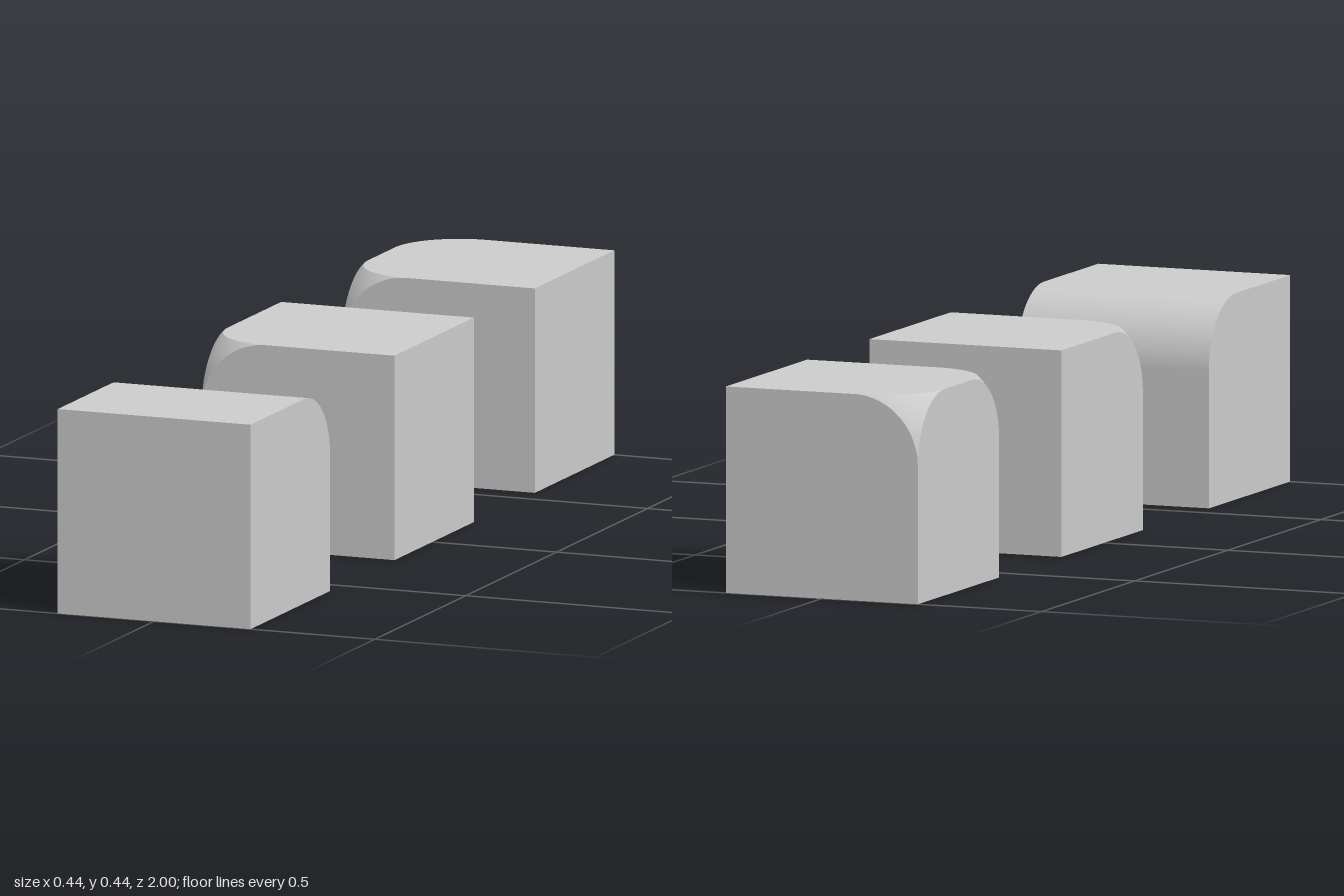
import * as THREE from 'three';
import { mergeGeometries } from 'three/addons/utils/BufferGeometryUtils.js';

const SIZE = 0.437, H = SIZE / 2, R = SIZE / 3, SEGS = 20;

// Square outline centred on the origin; radii run bottom-left, bottom-right, top-right, top-left
function squareShape(radii) {
  const shape = new THREE.Shape();
  radii.forEach((r, i) => {
    const start = Math.PI + (i * Math.PI) / 2;
    const sx = i === 0 || i === 3 ? -1 : 1, sy = i < 2 ? -1 : 1;
    if (r > 0) shape.absarc(sx * (H - r), sy * (H - r), r, start, start + Math.PI / 2, false);
    else if (i === 0) shape.moveTo(-H, -H);
    else shape.lineTo(sx * H, sy * H);
  });
  shape.closePath();
  return shape;
}

// One flat side of a block, moved out to its place
function side(radii, rotX, rotY) {
  return new THREE.ShapeGeometry(squareShape(radii), SEGS)
    .translate(0, 0, H).rotateX(rotX).rotateY(rotY);
}

// Rounded corner at -x, top, sz: a sphere that touches the three edges, in level slices
function cornerPatch(sz) {
  const pos = [], norm = [], uv = [], index = [], row = SEGS + 1;
  for (let j = 0; j <= SEGS; j++) {
    const drop = R * Math.cos((j / SEGS) * Math.PI / 2);
    const rho = Math.sqrt(2 * R * R - drop * drop);
    const from = Math.acos(Math.min(1, R / rho)), to = Math.PI / 2 - from;
    for (let i = 0; i <= SEGS; i++) {
      const a = from + (to - from) * (i / SEGS);
      const n = [-rho * Math.cos(a), drop, sz * rho * Math.sin(a)];
      pos.push(R - H + n[0], H - R + n[1], sz * (H - R) + n[2]);
      norm.push(...n.map((v) => v / (R * Math.SQRT2)));
      uv.push(i / SEGS, j / SEGS);
      if (i < SEGS && j < SEGS) {
        const p = j * row + i, q = p + row;
        if (sz > 0) index.push(p, q, q + 1, p, q + 1, p + 1);
        else index.push(p, q + 1, q, p, p + 1, q + 1);
      }
    }
  }
  const geo = new THREE.BufferGeometry();
  geo.setAttribute('position', new THREE.Float32BufferAttribute(pos, 3));
  geo.setAttribute('normal', new THREE.Float32BufferAttribute(norm, 3));
  geo.setAttribute('uv', new THREE.Float32BufferAttribute(uv, 2));
  geo.setIndex(index);
  return geo;
}

// Cube with the top corner at -x, +z rounded, and optionally the one at -x, -z
function cornerBlock(backToo) {
  const b = backToo ? R : 0, q = Math.PI / 2;
  const parts = [
    side([0, 0, 0, R], 0, 0),        // front
    side([0, 0, b, 0], 0, Math.PI),  // back
    side([0, 0, R, b], 0, -q),       // -x side
    side([0, 0, 0, 0], 0, q),        // +x side
    side([R, 0, 0, b], -q, 0),       // top
    side([0, 0, 0, 0], q, 0),        // bottom
    cornerPatch(1),
  ];
  if (backToo) parts.push(cornerPatch(-1));
  return mergeGeometries(parts);
}

// Cube with one whole top edge rounded, at the back, with smooth normals on the round
function edgeBlock() {
  const geo = new THREE.ExtrudeGeometry(squareShape([0, 0, R, 0]), {
    depth: SIZE, bevelEnabled: false, curveSegments: SEGS,
  }).translate(0, 0, -H);
  const pos = geo.attributes.position, norm = geo.attributes.normal;
  const c = H - R, e = 1e-5;
  for (let i = 0; i < pos.count; i++) {
    const dx = pos.getX(i) - c, dy = pos.getY(i) - c;
    const onRound = dx > -e && dy > -e && Math.abs(Math.hypot(dx, dy) - R) < e;
    if (onRound && Math.abs(norm.getZ(i)) < 0.5) norm.setXYZ(i, dx / R, dy / R, 0);
  }
  return geo.rotateY(Math.PI / 2);
}

export function createModel() {
  const model = new THREE.Group();
  const material = new THREE.MeshStandardMaterial({ color: 0xcccccc });
  const add = (name, geo, z) => {
    const mesh = new THREE.Mesh(geo, material);
    mesh.name = name;
    mesh.position.set(0, H, z);
    model.add(mesh);
  };
  add('roundedEdgeBlock', edgeBlock(), 1 - H);
  add('oneRoundedCornerBlock', cornerBlock(false), -0.01);
  add('twoRoundedCornersBlock', cornerBlock(true), H - 1);
  return model;
}
